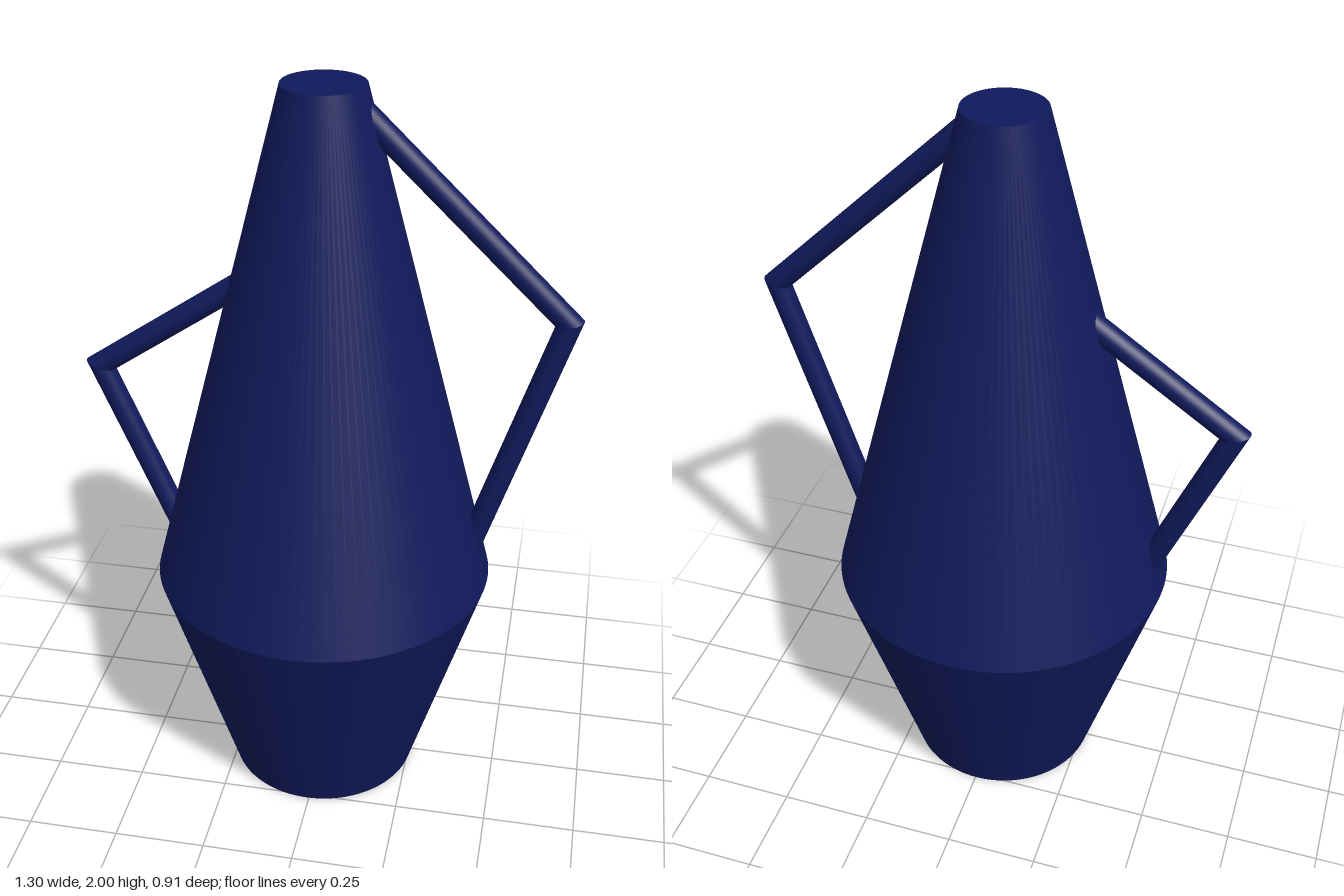
import * as THREE from 'three';

const material = new THREE.MeshStandardMaterial({ color: 0x101a5c });
const SEGMENTS = 96;
const BODY_X = -0.005;
const HANDLE_RADIUS = 0.031;

// Straight round bar from start to end, its far end cut along the mitre plane.
function mitredBar(start, end, mitreNormal) {
  const dir = end.clone().sub(start);
  const length = dir.length();
  dir.normalize();
  const geometry = new THREE.CylinderGeometry(HANDLE_RADIUS, HANDLE_RADIUS, length, 32);
  geometry.translate(0, length / 2, 0);
  geometry.applyQuaternion(new THREE.Quaternion().setFromUnitVectors(new THREE.Vector3(0, 1, 0), dir));
  geometry.translate(start.x, start.y, start.z);
  const position = geometry.attributes.position;
  const p = new THREE.Vector3();
  for (let i = 0; i < position.count; i++) {
    p.fromBufferAttribute(position, i);
    if (p.clone().sub(start).dot(dir) < length / 2) continue;
    const shift = end.clone().sub(p).dot(mitreNormal) / dir.dot(mitreNormal);
    p.addScaledVector(dir, shift);
    position.setXYZ(i, p.x, p.y, p.z);
  }
  return new THREE.Mesh(geometry, material);
}

// Handle of two bars meeting at a sharp elbow.
function handle(name, points) {
  const [top, elbow, bottom] = points.map(([x, y]) => new THREE.Vector3(x, y, 0));
  const inward = elbow.clone().sub(top).normalize();
  const outward = bottom.clone().sub(elbow).normalize();
  const mitreNormal = inward.add(outward).normalize();
  const group = new THREE.Group();
  group.name = name;
  const upper = mitredBar(top, elbow, mitreNormal);
  upper.name = name + 'UpperBar';
  const lower = mitredBar(bottom, elbow, mitreNormal);
  lower.name = name + 'LowerBar';
  group.add(upper, lower);
  return group;
}

// Lathe-turned section of the body; each section keeps its own normals.
function bodySection(name, profile) {
  const points = profile.map(([r, y]) => new THREE.Vector2(r, y));
  const mesh = new THREE.Mesh(new THREE.LatheGeometry(points, SEGMENTS), material);
  mesh.name = name;
  mesh.position.x = BODY_X;
  return mesh;
}

export function createModel() {
  const model = new THREE.Group();
  model.name = 'vase';

  // Body: base, flaring lower cone, tapering upper cone, flat top
  model.add(
    bodySection('base', [[0, 0], [0.262, 0]]),
    bodySection('lowerBody', [[0.262, 0], [0.457, 0.65]]),
    bodySection('upperBody', [[0.457, 0.65], [0.105, 2]]),
    bodySection('top', [[0.105, 2], [0, 2]])
  );

  // Large handle on the left, smaller one on the right
  model.add(
    handle('leftHandle', [[0.065, 1.96], [0.612, 1.433], [0.386, 0.718]]),
    handle('rightHandle', [[-0.213, 1.477], [-0.61, 1.207], [-0.397, 0.69]])
  );
  return model;
}
